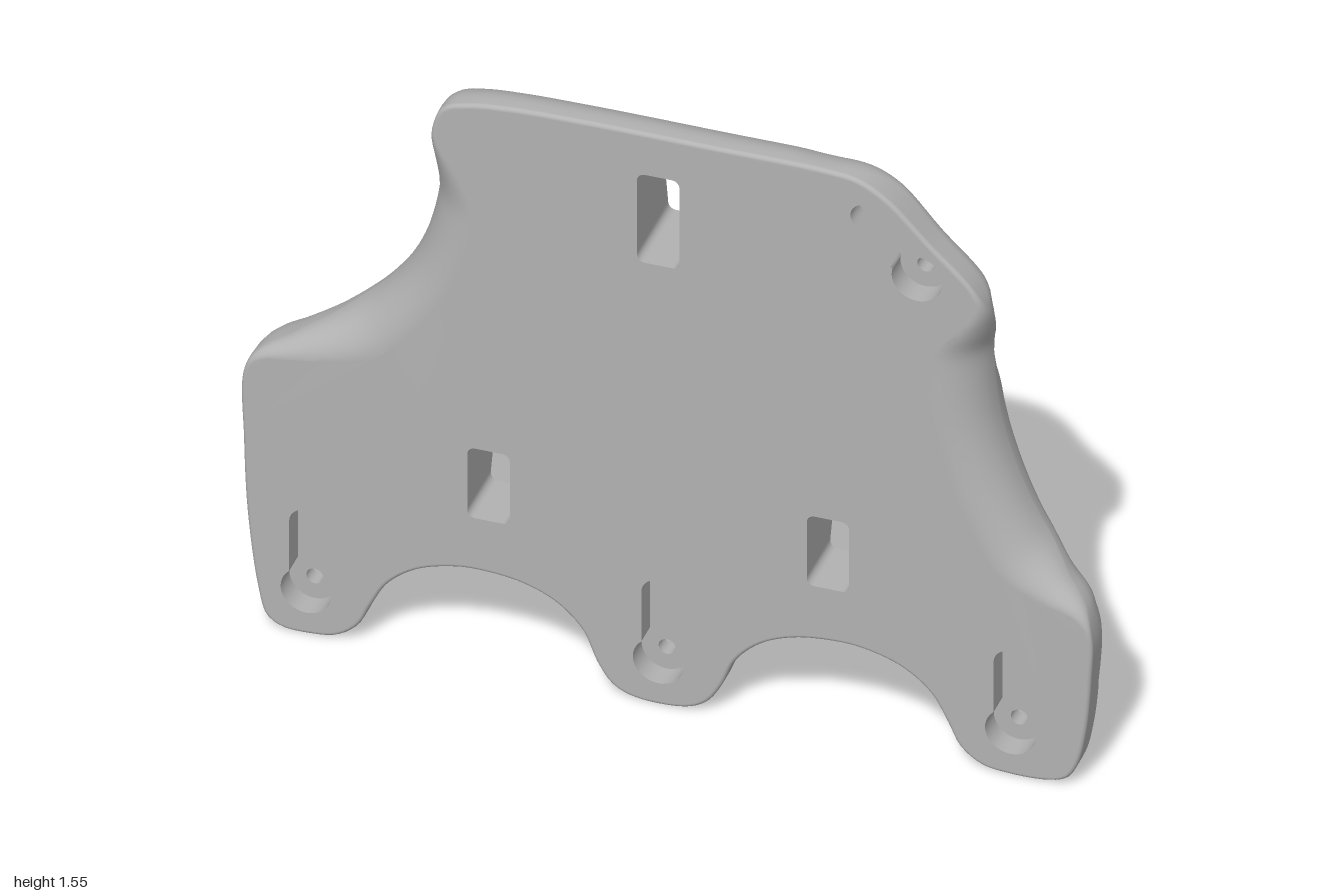
import * as THREE from 'three';
import { mergeVertices } from 'three/addons/utils/BufferGeometryUtils.js';

const FRONT = 0.12, PAD = 0.02, RECESS = 0.06;
const { smoothstep, lerp } = THREE.MathUtils;

// Hollow around the upper corner screw: 1 on the flat pad, 0 on the bulge
const hollow = (x, y) => 1 - smoothstep(Math.hypot(x - 0.61, y - 1.3), 0.19, 0.39);

// Depth of the back: a gentle arc that flattens to pads at the feet
function backZ(x, y) {
  const arc = -0.118 + 0.31 * (y - 0.93) ** 2;
  const z = y < 0.93 ? Math.min(PAD, arc) : arc;
  return lerp(z, PAD, hollow(x, y));
}

// How far the front edge rolls over along the two side grips
function grip(x, y) {
  if (Math.abs(x) < 0.5) return 0;
  const [a, b] = x < 0 ? [0.7, 1.45] : [0.42, 1.3];
  return smoothstep(y, a, a + 0.2) * (1 - smoothstep(y, b - 0.22, b));
}

// Outline, clockwise from the top left
const OUTLINE = [
  [-0.38, 1.545], [-0.2, 1.551], [0.1, 1.551], [0.37, 1.55], [0.45, 1.54], [0.52, 1.5],
  [0.62, 1.4], [0.72, 1.3], [0.75, 1.24], [0.75, 1.17], [0.735, 1.1], [0.735, 1.03], [0.75, 0.9],
  [0.79, 0.76], [0.85, 0.63], [0.92, 0.535], [0.98, 0.475], [1, 0.41], [0.998, 0.3],
  [0.985, 0.15], [0.965, 0.06], [0.94, 0.02], [0.89, 0.004], [0.8, 0.002], [0.74, 0.012],
  [0.69, 0.05], [0.66, 0.11], [0.62, 0.18], [0.55, 0.235], [0.46, 0.263], [0.395, 0.267],
  [0.3, 0.255], [0.22, 0.22], [0.16, 0.16], [0.125, 0.08], [0.09, 0.03], [0.04, 0.006]];
const ARCH = OUTLINE.slice(23).reverse().map(([x, y]) => [-0.04 - x, y]);
const LEFT = [
  [-0.91, 0.006], [-0.945, 0.03], [-0.965, 0.1], [-0.99, 0.3], [-0.999, 0.5], [-1, 0.68],
  [-0.975, 0.735], [-0.9, 0.78], [-0.8, 0.84], [-0.7, 0.93], [-0.62, 1.05], [-0.573, 1.2],
  [-0.56, 1.35], [-0.555, 1.45], [-0.53, 1.51], [-0.47, 1.533]];

function outlinePoints() {
  const pts = [...OUTLINE, ...ARCH, ...LEFT].map(([x, y]) => new THREE.Vector3(x, y, 0));
  const curve = new THREE.CatmullRomCurve3(pts, true, 'centripetal');
  return curve.getSpacedPoints(420).slice(0, -1).reverse();
}

// Inward normals, averaged along the outline so tight corners do not fold
function inwardNormals(pts) {
  const n = pts.length, at = i => pts[(i + n) % n];
  const raw = pts.map((_, i) => {
    const t = at(i + 1).clone().sub(at(i - 1)).normalize();
    return new THREE.Vector3(-t.y, t.x, 0);
  });
  return raw.map((_, i) => {
    const sum = new THREE.Vector3();
    for (let k = -8; k <= 8; k++) sum.add(raw[(i + k + n) % n]);
    return sum.normalize();
  });
}

// Quads between two closed rings
function strip(out, A, B) {
  A.forEach((a, i) => {
    const j = (i + 1) % A.length;
    out.push(a, A[j], B[j], a, B[j], B[i]);
  });
}

// Fill a contour with holes; maxEdge splits it finely so it can follow zAt
function fill(out, contour, holes, zAt, flip, maxEdge = Infinity) {
  const flat = p => new THREE.Vector2(p.x, p.y);
  const c = contour.map(flat), hs = holes.map(h => h.map(flat).reverse());
  const all = [c, ...hs].flat();
  const lift = p => new THREE.Vector3(p.x, p.y, zAt(p.x, p.y));
  const split = (a, b, d) => {
    const ab = a.distanceTo(b), bd = b.distanceTo(d), da = d.distanceTo(a);
    const m = Math.max(ab, bd, da);
    if (m <= maxEdge) {
      out.push(...(flip ? [a, d, b] : [a, b, d]).map(lift));
    } else if (m === ab) {
      const q = a.clone().add(b).multiplyScalar(0.5);
      split(a, q, d); split(q, b, d);
    } else if (m === bd) split(b, d, a);
    else split(d, a, b);
  };
  for (const [i, j, k] of THREE.ShapeUtils.triangulateShape(c, hs)) split(all[i], all[j], all[k]);
}

function toGeometry(points, smooth) {
  let g = new THREE.BufferGeometry().setFromPoints(points);
  if (smooth) g = mergeVertices(g, 1e-5);
  g.computeVertexNormals();
  return g;
}

const ring = (path, count) => path.getSpacedPoints(count).slice(0, -1);
const withZ = (pts, zAt) => pts.map(p => new THREE.Vector3(p.x, p.y, zAt(p.x, p.y)));

// Rounded rectangular slot
function slotRing(x0, y0, x1, y1, r = 0.018) {
  const s = new THREE.Path();
  s.absarc(x1 - r, y0 + r, r, -Math.PI / 2, 0);
  s.absarc(x1 - r, y1 - r, r, 0, Math.PI / 2);
  s.absarc(x0 + r, y1 - r, r, Math.PI / 2, Math.PI);
  s.absarc(x0 + r, y0 + r, r, Math.PI, Math.PI * 1.5);
  s.closePath();
  return ring(s, 90);
}

// Keyhole outline: round head with a narrower slot leading away
function keyholeRing(x, y, angle, length, w) {
  const R = 0.06, a = Math.asin(w / R), s = new THREE.Path();
  s.absarc(0, 0, R, Math.PI / 2 + a, Math.PI * 2.5 - a);
  s.absarc(0, length, w, 0, Math.PI);
  s.closePath();
  const o = new THREE.Vector2();
  return ring(s, 80).map(p => p.rotateAround(o, angle).add(new THREE.Vector2(x, y)));
}

function boltRing(x, y) {
  return ring(new THREE.Path().absarc(x, y, 0.02, 0, Math.PI * 2), 24);
}

export function createModel() {
  const group = new THREE.Group();
  const grey = new THREE.MeshStandardMaterial({ color: 0xb2b2b2 });
  const add = (name, points, smooth) => {
    const mesh = new THREE.Mesh(toGeometry(points, smooth), grey);
    mesh.name = name;
    group.add(mesh);
  };

  const slots = [[-0.07, 1.2, 0.03, 1.44], [-0.47, 0.41, -0.37, 0.6], [0.33, 0.41, 0.43, 0.6]]
    .map(s => slotRing(...s));
  const keyholes = [[-0.85, 0.12, 0, 0.18, 0.04], [-0.02, 0.12, 0, 0.18, 0.04],
    [0.81, 0.12, 0, 0.18, 0.04], [0.59, 1.305, 0.73, 0.185, 0.034]]
    .map(k => ({ head: keyholeRing(...k), bolt: boltRing(k[0], k[1]) }));

  // Edge cross-section at each outline point, from the back round to the front
  const pts = outlinePoints(), normals = inwardNormals(pts), STEPS = 8;
  const sections = pts.map((p, i) => {
    const n = normals[i], g = grip(p.x, p.y);
    const wf = 0.01 + 0.1 * g, hf = 0.01 + 0.1 * g;
    let wb = lerp(0.03, 0.13, smoothstep(p.y, 0.22, 0.6));
    wb = lerp(wb, 0.085, smoothstep(p.y, 1.35, 1.5));
    wb *= 1 - 0.75 * hollow(p.x, p.y) * (1 - g);
    const hbOf = z => Math.min(wb * 1.4, 0.95 * (FRONT - hf - z));
    const zIn = backZ(p.x + n.x * wb, p.y + n.y * wb), hb = hbOf(zIn);
    const section = [];
    const put = (d, z) => section.push(new THREE.Vector3(p.x + n.x * d, p.y + n.y * d, z));
    for (let k = 0; k <= STEPS; k++) {
      const t = k / STEPS * Math.PI / 2, d = wb * (1 - Math.sin(t));
      const follow = backZ(p.x + n.x * d, p.y + n.y * d) - zIn;
      put(d, zIn + hb * (1 - Math.cos(t)) + follow * Math.cos(t));
    }
    for (let k = 0; k <= STEPS; k++) {
      const t = k / STEPS * Math.PI / 2;
      put(wf * (1 - Math.cos(t)), FRONT - hf * (1 - Math.sin(t)));
    }
    return section;
  });
  const rings = sections[0].map((_, k) => sections.map(s => s[k]));

  // Plate body: rounded rim, flat front and bulging back
  const body = [];
  for (let k = 0; k + 1 < rings.length; k++) strip(body, rings[k], rings[k + 1]);
  fill(body, rings.at(-1), [...slots, ...keyholes.map(k => k.head)], () => FRONT, false);
  fill(body, rings[0], [...slots, ...keyholes.map(k => k.bolt)], backZ, true, 0.035);
  add('plateBody', body, true);

  // Walls of the through slots
  for (const s of slots) {
    const wall = [];
    strip(wall, withZ(s, () => FRONT), withZ(s, backZ));
    add('slotWall', wall, true);
  }

  // Keyhole recesses with a screw hole through to the back
  for (const { head, bolt } of keyholes) {
    const wall = [], floor = [], bore = [];
    strip(wall, withZ(head, () => FRONT), withZ(head, () => RECESS));
    fill(floor, head, [bolt], () => RECESS, false);
    strip(bore, withZ(bolt, () => RECESS), withZ(bolt, backZ));
    add('keyholeWall', wall, true);
    add('keyholeFloor', floor, false);
    add('screwHole', bore, true);
  }
  return group;
}
